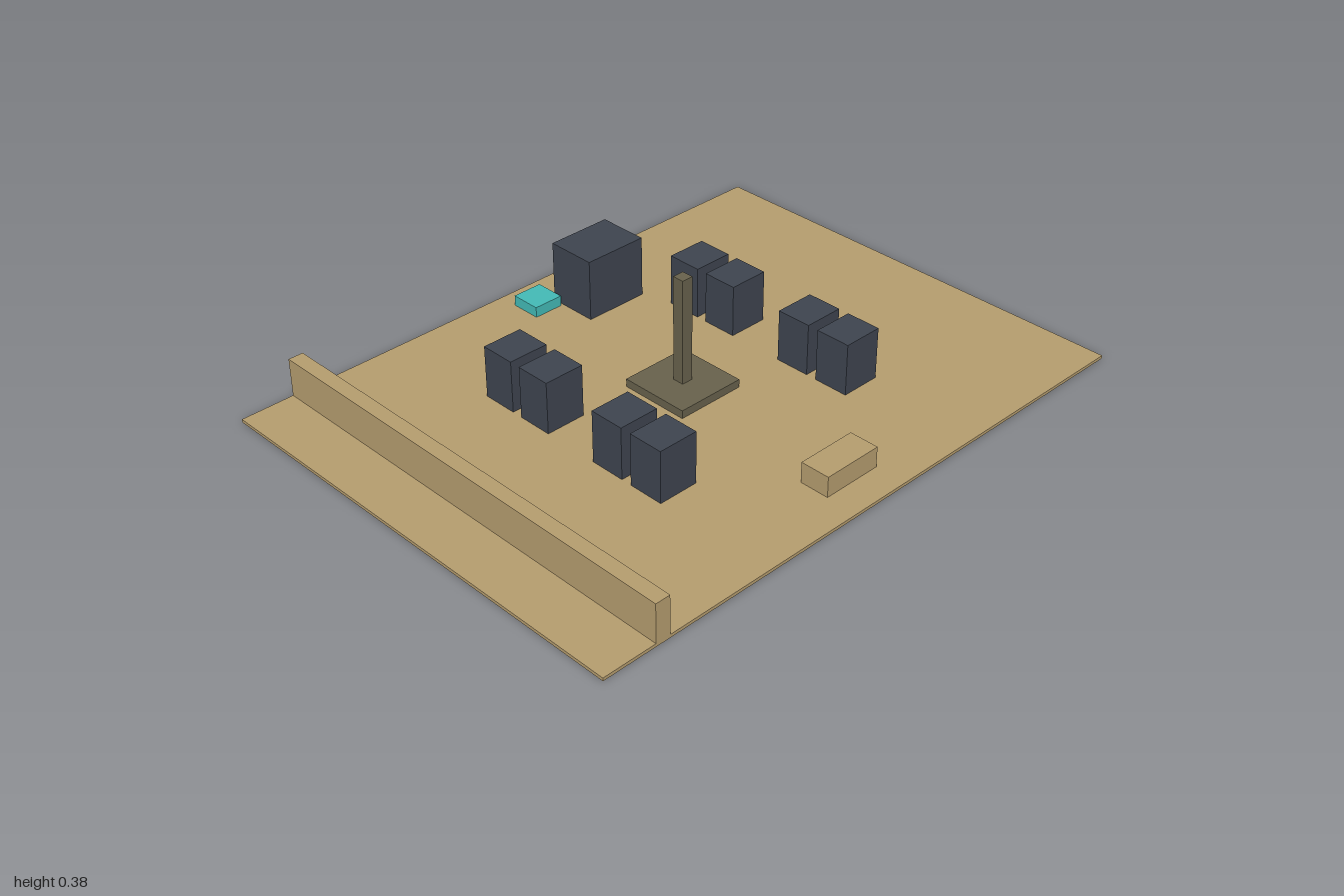
import * as THREE from 'three';

export function createModel() {
  const model = new THREE.Group();
  model.name = 'plaza';

  const mat = (name, color) => {
    const m = new THREE.MeshStandardMaterial({ color });
    m.name = name;
    return m;
  };
  const sand = mat('sand', 0xb39b6d);
  const slate = mat('slate', 0x3d434e);
  const stone = mat('stone', 0x66604b);
  const teal = mat('teal', 0x42b8b4);

  const groundTop = 0.01;

  // Box given by its footprint centre, size and bottom height
  const block = (name, material, x, z, w, h, d, bottom = groundTop) => {
    const mesh = new THREE.Mesh(new THREE.BoxGeometry(w, h, d), material);
    mesh.name = name;
    mesh.position.set(x, bottom + h / 2, z);
    model.add(mesh);
  };

  // Ground slab and the long wall on the right edge
  block('ground', sand, 0, 0, 2, groundTop, 1.5, 0);
  block('wall', sand, -0.803, 0, 0.048, 0.123, 1.5);

  // Central monument
  block('monumentBase', stone, 0, 0, 0.23, 0.026, 0.23);
  block('monumentPillar', stone, 0, 0, 0.038, 0.342, 0.038, 0.036);

  // Two rows of four small buildings
  for (const x of [-0.367, 0.367]) {
    for (const z of [-0.3, -0.15, 0.15, 0.3]) {
      block('smallBuilding', slate, x, z, 0.132, 0.168, 0.115);
    }
  }

  // Large building with the low teal box behind it
  block('largeBuilding', slate, 0.167, -0.542, 0.216, 0.2, 0.166);
  block('tealBox', teal, 0, -0.635, 0.1, 0.034, 0.1);

  // Low block at the front
  block('frontBlock', sand, 0, 0.6, 0.198, 0.066, 0.096);

  return model;
}
